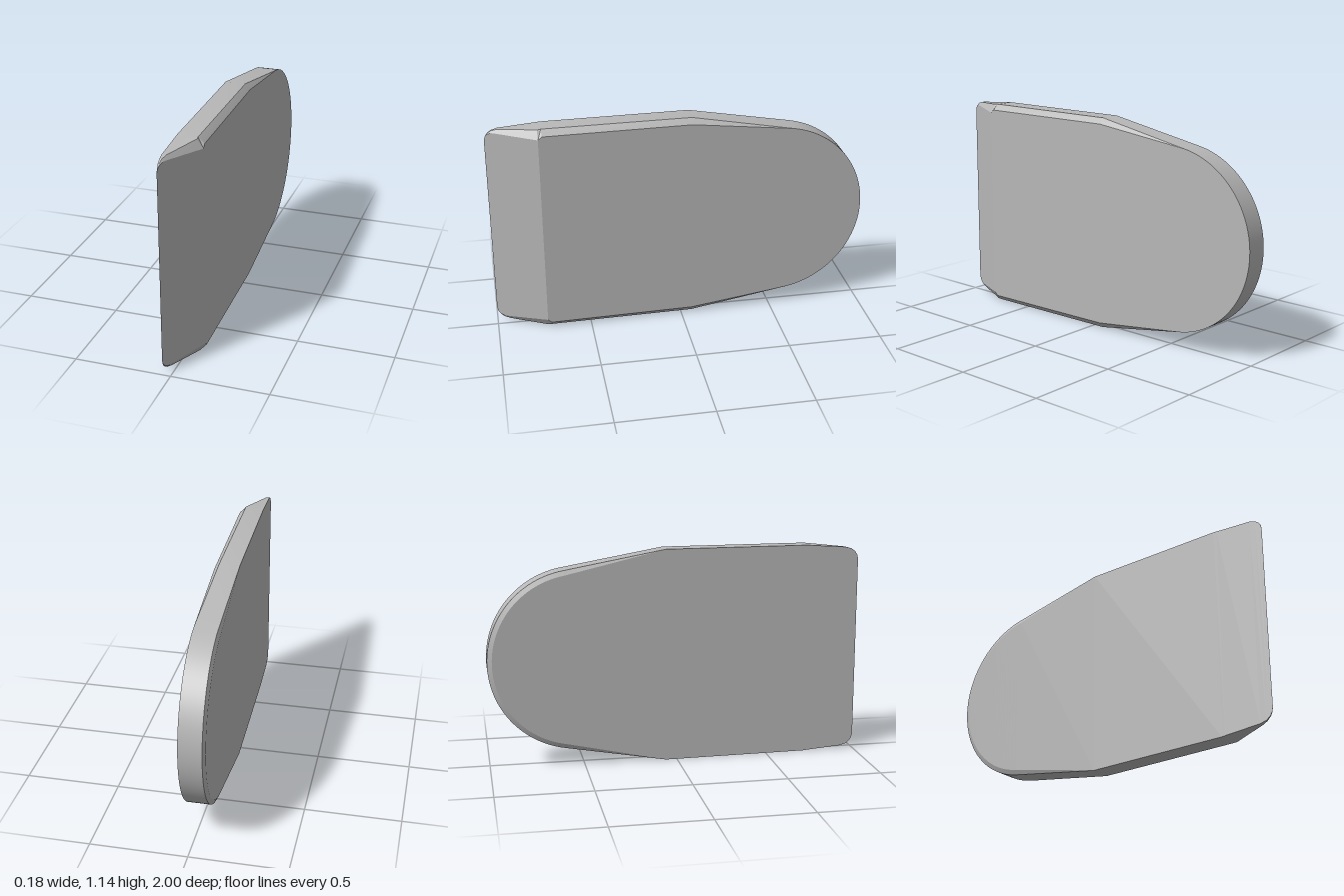
import * as THREE from 'three';
import { toCreasedNormals } from 'three/addons/utils/BufferGeometryUtils.js';

const MID = 0.572; // height of the mirror plane

// Outline from the cutting edge to the rounded butt:
// z, half height, inset and depth of the left chamfer, inset and depth of the right chamfer
function outline() {
  const rows = [
    [1, 0.49, 0, 0, 0, 0],
    [0.995, 0.512, 0, 0, 0, 0],
    [0.982, 0.532, 0.004, 0.004, 0, 0],
    [0.962, 0.547, 0.01, 0.008, 0, 0],
    [0.93, 0.556, 0.02, 0.014, 0, 0],
    [0.735, 0.57, 0.045, 0.03, 0, 0],
    [0.715, 0.572, 0.03, 0.032, 0, 0],
    [-0.06, 0.572, 0.03, 0.026, 0, 0],
  ];
  const r = 0.482, start = 1.4, steps = 28;
  for (let i = 0; i <= steps; i++) {
    const a = start * (1 - i / steps);
    rows.push([r - 1 - r * Math.cos(a), r * Math.sin(a), 0, 0, 0.025, 0.012]);
  }
  return rows;
}

// Left face with the cutting bevel, and the flat right face
const leftX = z => Math.min(0.088 - 0.0277 * (0.735 - z), -0.041 + (1 - z) * 0.487);
const rightX = z => -0.041 - 0.025 * (1 - z);

function bladeGeometry() {
  // Four points across the thickness for each outline row
  const sections = outline().map(([z, h, inL, dL, inR, dR]) => {
    const rounded = z < -0.5;
    const cz = -0.518, k = 1 - inR / 0.482;
    const zr = rounded ? cz + (z - cz) * k : z;
    const hr = rounded ? h * k : h;
    return [
      [leftX(z), h - inL, z],
      [leftX(z) - dL, h, z],
      [rightX(zr) + dR, h, z],
      [rightX(zr), hr, zr],
    ];
  });
  const pos = [];
  const tri = (a, b, c) => {
    const v = [a, b, c].map(p => new THREE.Vector3(...p));
    const n = v[1].clone().sub(v[0]).cross(v[2].clone().sub(v[0]));
    if (n.length() > 1e-9) v.forEach(p => pos.push(p.x, p.y + MID, p.z));
  };
  const quad = (a, b, c, d) => { tri(a, b, c); tri(a, c, d); };
  const low = p => [p[0], -p[1], p[2]];

  for (let i = 0; i < sections.length - 1; i++) {
    const s = sections[i], t = sections[i + 1];
    // Rim and chamfers, above and mirrored below
    for (let j = 0; j < 3; j++) {
      quad(s[j], t[j], t[j + 1], s[j + 1]);
      quad(low(s[j + 1]), low(t[j + 1]), low(t[j]), low(s[j]));
    }
    // Broad faces
    quad(s[0], low(s[0]), low(t[0]), t[0]);
    quad(t[3], low(t[3]), low(s[3]), s[3]);
  }
  const geometry = new THREE.BufferGeometry();
  geometry.setAttribute('position', new THREE.Float32BufferAttribute(pos, 3));
  return toCreasedNormals(geometry, 0.2);
}

export function createModel() {
  const grey = new THREE.MeshStandardMaterial({ color: 0xb8b8b8 });
  grey.name = 'grey';
  const blade = new THREE.Mesh(bladeGeometry(), grey);
  blade.name = 'blade';
  const group = new THREE.Group();
  group.name = 'bevelledBlade';
  group.add(blade);
  return group;
}
